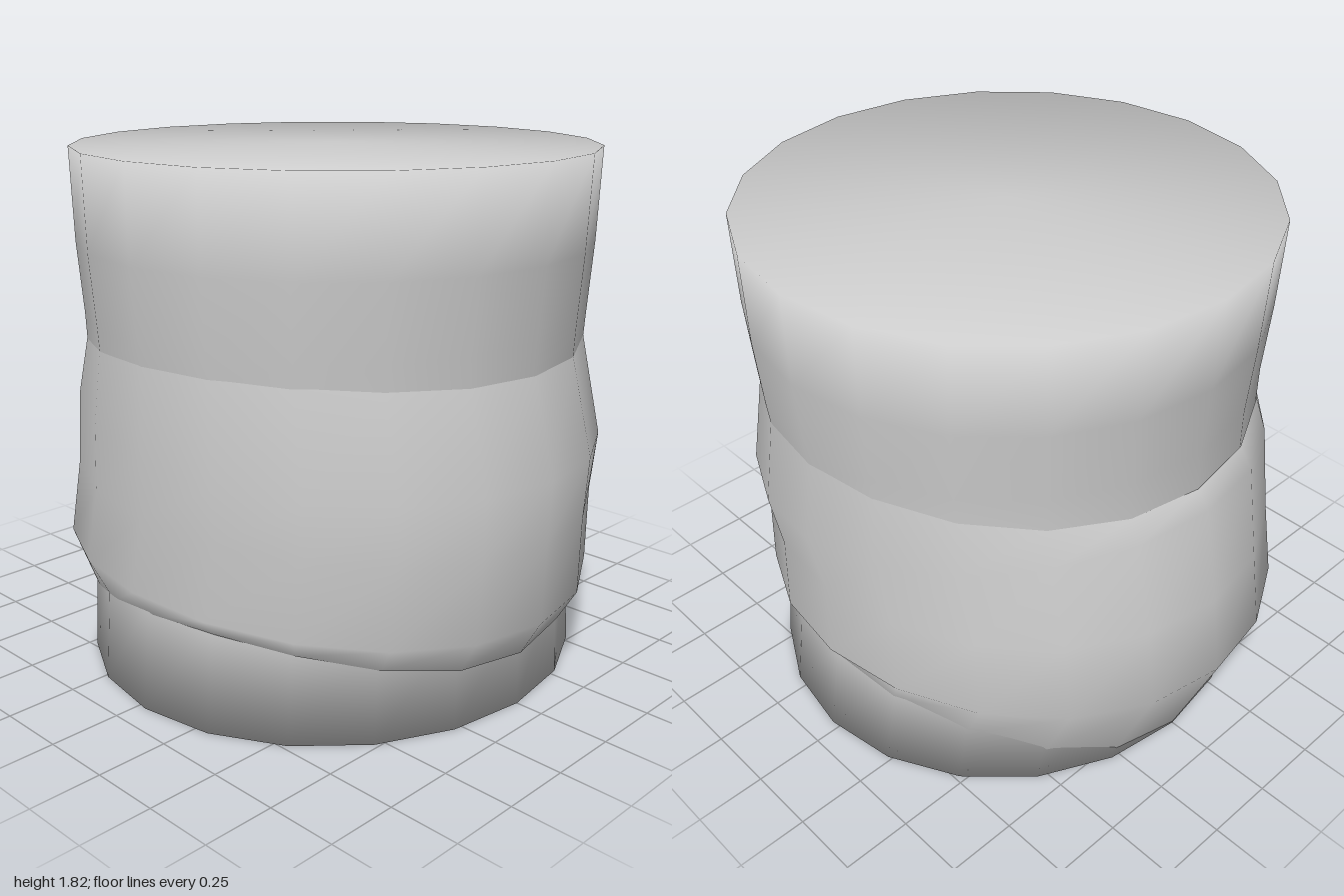
import * as THREE from 'three';

const SIDES = 20;

// A ring is [frontZ, frontY, sideX, sideY, backZ, backY]; its height bends smoothly between the three points.
function loft(name, rings, capBottom, capTop) {
  const pos = [], index = [];
  for (const [fz, fy, sx, sy, bz, by] of rings) {
    for (let j = 0; j < SIDES; j++) {
      const t = (j / SIDES) * Math.PI * 2, c = Math.cos(t);
      pos.push(
        sx * Math.sin(t),
        sy + ((fy - by) / 2) * c + ((fy + by) / 2 - sy) * c * c,
        (fz + bz) / 2 + ((fz - bz) / 2) * c
      );
    }
  }
  for (let i = 0; i < rings.length - 1; i++) {
    for (let j = 0; j < SIDES; j++) {
      const k = (j + 1) % SIDES;
      const a = i * SIDES + j, b = i * SIDES + k;
      index.push(a, b, b + SIDES, a, b + SIDES, a + SIDES);
    }
  }
  // flat end caps share the rim so the shading rolls over the edge
  const cap = (i, up) => {
    const [fz, , , sy, bz] = rings[i];
    const centre = pos.length / 3;
    pos.push(0, sy, (fz + bz) / 2);
    for (let j = 0; j < SIDES; j++) {
      const a = i * SIDES + j, b = i * SIDES + ((j + 1) % SIDES);
      if (up) index.push(a, b, centre);
      else index.push(b, a, centre);
    }
  };
  if (capBottom) cap(0, false);
  if (capTop) cap(rings.length - 1, true);

  const geometry = new THREE.BufferGeometry();
  geometry.setAttribute('position', new THREE.Float32BufferAttribute(pos, 3));
  geometry.setIndex(index);
  geometry.computeVertexNormals();
  const mesh = new THREE.Mesh(
    geometry,
    new THREE.MeshStandardMaterial({ color: 0xcccccc, side: THREE.DoubleSide })
  );
  mesh.name = name;
  return mesh;
}

export function createModel() {
  const group = new THREE.Group();
  group.name = 'layeredBody';

  // base, tucked under the bulging middle
  group.add(loft('lowerSection', [
    [0.90, 0, 0.905, 0, -0.835, 0],
    [0.89, 0.36, 0.86, 0.36, -0.86, 0.36],
  ], true, false));

  // bulge, hanging lower at the front and reaching the floor at the back
  group.add(loft('middleSection', [
    [0.905, 0.19, 0.86, 0.33, -0.837, 0.01],
    [0.98, 0.32, 0.905, 0.41, -1.0, 0.41],
    [0.99, 0.60, 0.88, 0.67, -0.955, 0.70],
    [1.0, 0.82, 0.905, 0.88, -0.89, 1.05],
    [0.915, 1.15, 0.872, 1.19, -0.84, 1.11],
  ], false, false));

  // flared upper part with a flat top
  group.add(loft('upperSection', [
    [0.913, 1.12, 0.87, 1.16, -0.838, 1.09],
    [0.918, 1.25, 0.88, 1.25, -0.835, 1.25],
    [0.935, 1.50, 0.90, 1.50, -0.853, 1.50],
    [0.95, 1.82, 0.905, 1.82, -0.87, 1.82],
  ], false, true));

  return group;
}
